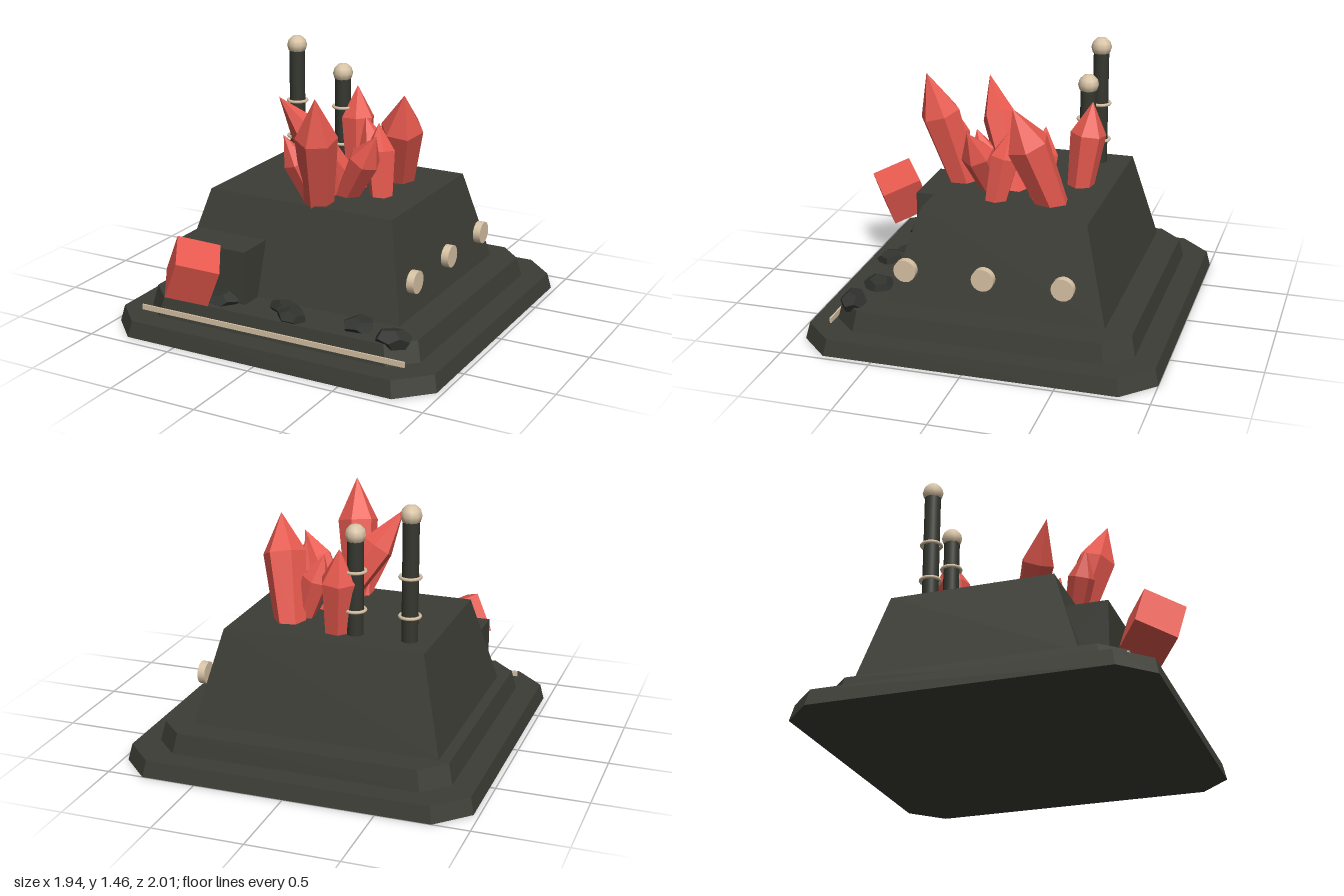
import * as THREE from 'three';

const mat = (name, color, opts = {}) => {
  const m = new THREE.MeshStandardMaterial({ color, ...opts });
  m.name = name;
  return m;
};

export function createModel() {
  const model = new THREE.Group();
  const stone = mat('dark stone', 0x3d3d36, { flatShading: true });
  const rubble = mat('rubble stone', 0x30322e, { flatShading: true });
  const iron = mat('dark iron', 0x35372f);
  const brass = mat('pale brass', 0xd8c3a5);
  const red = mat('red crystal', 0xe85a4f, { flatShading: true });

  const add = (name, geometry, material, x = 0, y = 0, z = 0) => {
    const mesh = new THREE.Mesh(geometry, material);
    mesh.name = name;
    mesh.position.set(x, y, z);
    model.add(mesh);
    return mesh;
  };

  // Tapered slab with optional cut corners; [halfX, halfZ] at bottom and top
  const slab = ([bx, bz], [tx, tz], height, cut, shiftZ = 0) => {
    const pts = cut
      ? [[bx - cut, -bz], [bx, cut - bz], [bx, bz - cut], [bx - cut, bz],
         [cut - bx, bz], [-bx, bz - cut], [-bx, cut - bz], [cut - bx, -bz]]
      : [[bx, -bz], [bx, bz], [-bx, bz], [-bx, -bz]];
    const shape = new THREE.Shape(pts.map(([x, z]) => new THREE.Vector2(x, z)));
    const geo = new THREE.ExtrudeGeometry(shape, { depth: height, bevelEnabled: false });
    geo.rotateX(-Math.PI / 2);
    const p = geo.attributes.position;
    for (let i = 0; i < p.count; i++) {
      if (p.getY(i) > height / 2) {
        p.setX(i, p.getX(i) * tx / bx);
        p.setZ(i, p.getZ(i) * tz / bz + shiftZ);
      }
    }
    geo.computeVertexNormals();
    return geo;
  };

  // Stepped plinth and tapered main block
  add('lowerPlinth', slab([0.97, 0.97], [0.95, 0.95], 0.09, 0.17), stone, 0, 0, -0.03);
  add('upperPlinth', slab([0.825, 0.823], [0.8, 0.8], 0.11, 0.135), stone, 0, 0.09, -0.03);
  add('mainBlock', slab([0.69, 0.605], [0.56, 0.455], 0.515, 0, -0.015), stone, -0.05, 0.2, -0.075);
  add('frontBox', new THREE.BoxGeometry(0.43, 0.31, 0.36), stone, -0.435, 0.345, 0.48);
  add('frontTrim', new THREE.BoxGeometry(1.6, 0.03, 0.009), brass, 0, 0.125, 0.792);

  // Round side bosses
  for (const z of [0.405, -0.027, -0.46]) {
    const boss = add('sideBoss', new THREE.CylinderGeometry(0.062, 0.062, 0.042, 16), brass, 0.666, 0.413, z);
    boss.rotation.z = Math.PI / 2;
  }

  // Posts with rings and ball caps
  for (const [x, ballY] of [[-0.48, 1.397], [-0.178, 1.265]]) {
    const h = ballY - 0.7;
    add('post', new THREE.CylinderGeometry(0.045, 0.045, h, 12), iron, x, 0.7 + h / 2, -0.375);
    add('postBall', new THREE.SphereGeometry(0.058, 10, 6), brass, x, ballY, -0.375);
    for (const y of [0.852, 1.067]) {
      const ring = add('postRing', new THREE.TorusGeometry(0.055, 0.009, 6, 20), brass, x, y, -0.375);
      ring.rotation.x = Math.PI / 2;
    }
  }

  // Crystal cluster: base, tip, shoulder radius
  const up = new THREE.Vector3(0, 1, 0);
  const crystals = [
    [[0.02, 0.66, 0.27], [0.107, 1.34, 0.465], 0.115],
    [[0.22, 0.66, -0.3], [0.35, 1.26, -0.095], 0.12],
    [[-0.07, 0.66, -0.36], [-0.105, 1.19, -0.42], 0.1],
    [[0.1, 0.66, -0.05], [-0.255, 1.25, 0.215], 0.095],
    [[0.28, 0.66, 0.03], [0.22, 1.1, -0.05], 0.085],
    [[0.07, 0.66, 0.08], [0.315, 1.09, 0.17], 0.09],
    [[0.2, 0.66, -0.2], [0.06, 1.08, -0.2], 0.08],
    [[0.02, 0.66, 0.1], [-0.02, 1.0, 0.22], 0.075],
    [[0.03, 0.66, 0.27], [-0.12, 1.1, 0.4], 0.075],
  ];
  crystals.forEach(([base, tip, r], i) => {
    const b = new THREE.Vector3(...base);
    const dir = new THREE.Vector3(...tip).sub(b);
    const len = dir.length();
    const profile = [[0, 0], [r * 0.7, 0], [r, len * 0.66], [0, len]].map(([x, y]) => new THREE.Vector2(x, y));
    const geo = new THREE.LatheGeometry(profile, 6, i * 0.7);
    add('crystal', geo, red, ...base).quaternion.setFromUnitVectors(up, dir.normalize());
  });

  // Tilted cube in front of the box
  const cube = add('redCube', new THREE.BoxGeometry(0.235, 0.235, 0.235), red, -0.435, 0.415, 0.832);
  cube.rotation.set(0.4, 0.5, -0.5);

  // Rubble along the front ledge: position, half sizes, turn
  const rocks = [
    [-0.345, 0.215, 0.67, 0.095, 0.05, 0.08, 0.4],
    [0.02, 0.22, 0.635, 0.11, 0.045, 0.065, -0.3],
    [0.09, 0.215, 0.7, 0.1, 0.045, 0.075, -0.5],
    [0.46, 0.215, 0.64, 0.095, 0.05, 0.085, 0.8],
    [0.69, 0.208, 0.7, 0.105, 0.06, 0.075, 0.2],
  ];
  for (const [x, y, z, sx, sy, sz, turn] of rocks) {
    const geo = new THREE.DodecahedronGeometry(1, 0);
    geo.rotateZ(turn).rotateX(turn * 1.7);
    const rock = add('rubbleRock', geo, rubble, x, y, z);
    rock.scale.set(sx, sy, sz);
    rock.rotation.y = turn;
  }
  return model;
}
